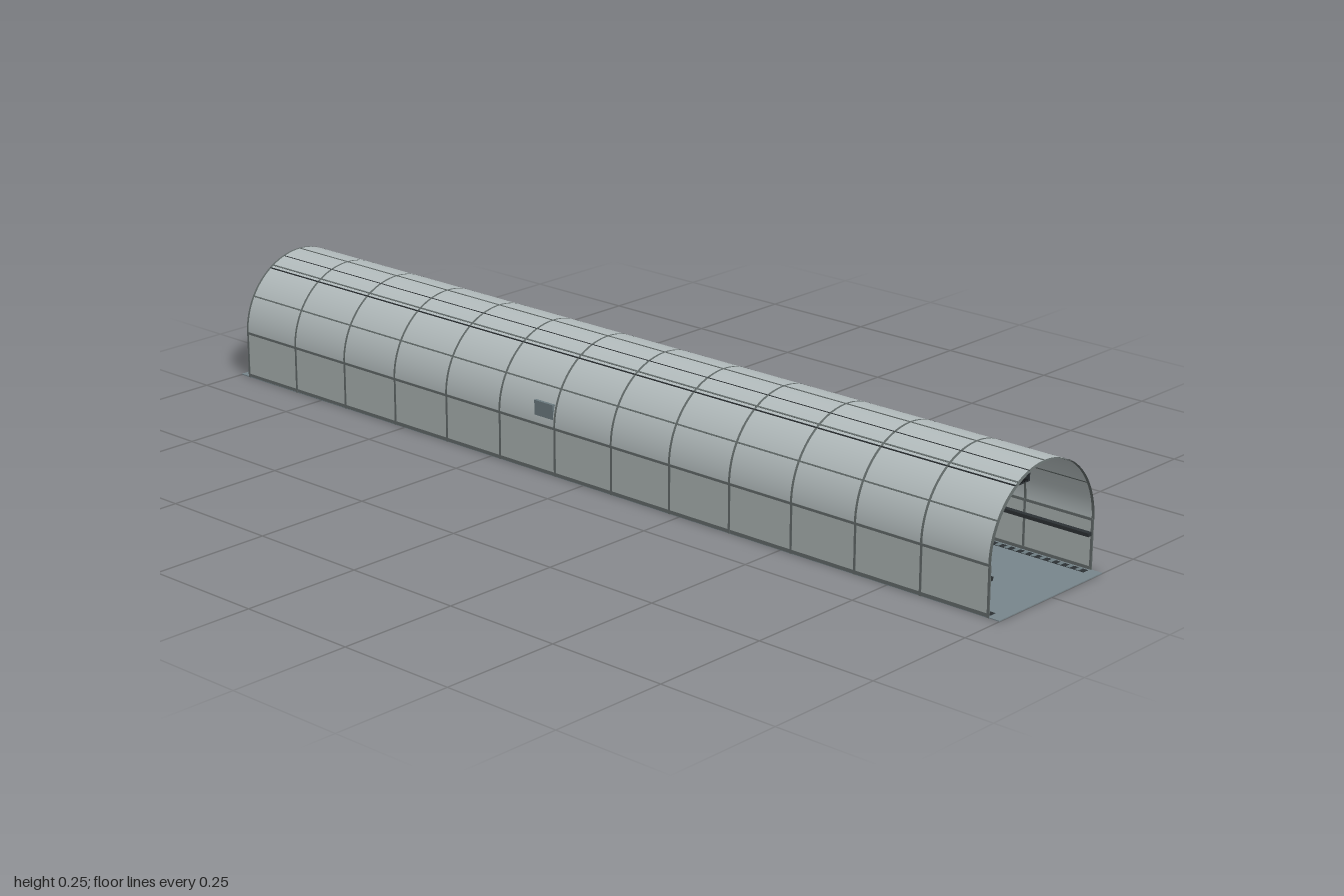
import * as THREE from 'three';
import { mergeGeometries } from 'three/addons/utils/BufferGeometryUtils.js';

const R = 0.153;        // arch radius
const SPRING = 0.098;   // height where the arch starts
const WALL = 0.152;     // half width of the side walls
const BAY = 0.15;       // panel length
const BAYS = 13;
const LEN = BAY * BAYS;

function material(name, color, side = THREE.FrontSide) {
  const m = new THREE.MeshStandardMaterial({ color, side });
  m.name = name;
  return m;
}

// Box given by its size and centre
function box(w, h, d, x, y, z) {
  return new THREE.BoxGeometry(w, h, d).translate(x, y, z);
}

// Open half cylinder running along z
function halfTube(radius, length, z = 0) {
  return new THREE.CylinderGeometry(radius, radius, length, 48, 1, true, Math.PI / 2, Math.PI)
    .rotateX(Math.PI / 2).translate(0, SPRING, z);
}

export function createModel() {
  const group = new THREE.Group();
  const shell = material('pale panel grey', 0xb4bdbe, THREE.DoubleSide);
  const wallGrey = material('wall grey', 0xaab2b1, THREE.DoubleSide);
  const seam = material('seam grey', 0x626a69, THREE.DoubleSide);
  const floorGrey = material('floor blue grey', 0x78868c);
  const steel = material('cabinet steel', 0x6c7b80);
  const dark = material('dark metal', 0x2c3134);
  const black = material('cable black', 0x17191b);

  const add = (name, mat, ...geos) => {
    const mesh = new THREE.Mesh(geos.length > 1 ? mergeGeometries(geos) : geos[0], mat);
    mesh.name = name;
    group.add(mesh);
  };

  // Floor slab, a little longer than the shell
  add('floor', floorGrey, box(0.306, 0.002, 2, 0, 0.001, 0));

  // Vaulted roof
  add('archRoof', shell, halfTube(R, LEN));

  // Ring seams between bays, outside and inside
  const rings = [];
  for (let i = 0; i <= BAYS; i++) {
    const z = -LEN / 2 + i * BAY;
    for (const r of [R + 0.0007, R - 0.0007]) rings.push(halfTube(r, 0.005, z));
  }
  add('ringSeams', seam, ...rings);

  // Lengthwise seams at even angles round the vault
  const long = [];
  for (let i = 1; i < 6; i++) {
    const a = i * Math.PI / 6;
    long.push(new THREE.BoxGeometry(0.0016, 0.003, LEN).translate(R, 0, 0)
      .rotateZ(a).translate(0, SPRING, 0));
  }
  add('lengthwiseSeams', seam, ...long);

  // Parts repeated on both sides
  for (const s of [-1, 1]) {
    const side = s > 0 ? 'left' : 'right';
    add(side + 'Wall', wallGrey, box(0.001, SPRING, LEN, s * WALL, SPRING / 2, 0));
    add(side + 'WallTopSeam', seam, box(0.003, 0.005, LEN, s * (WALL + 0.0005), SPRING, 0));
    add(side + 'Plinth', seam, box(0.003, 0.007, LEN, s * 0.1515, 0.0045, 0));

    const joints = [];
    for (let i = 0; i <= BAYS; i++) {
      joints.push(box(0.0024, SPRING, 0.005, s * WALL, SPRING / 2, -LEN / 2 + i * BAY));
    }
    add(side + 'WallJoints', seam, ...joints);

    // Handrail
    add(side + 'Handrail', dark, box(0.011, 0.007, LEN, s * 0.1465, 0.0705, 0));

    // Floor drain with grating bars
    add(side + 'Drain', dark, box(0.014, 0.001, LEN, s * 0.138, 0.0022, 0));
    const bars = [];
    for (let z = -0.96; z < 0.97; z += 0.02) bars.push(box(0.014, 0.0015, 0.008, s * 0.138, 0.0028, z));
    add(side + 'DrainGrating', steel, ...bars);
  }

  // Cable tray hung below the vault, with cables lying in it
  add('cableTray', dark,
    box(0.04, 0.002, LEN, -0.065, 0.226, 0),
    box(0.0015, 0.0198, LEN, -0.045, 0.2351, 0));
  const cables = [];
  for (let i = 0; i < 4; i++) {
    cables.push(new THREE.CylinderGeometry(0.0018, 0.0018, LEN, 8)
      .rotateX(Math.PI / 2).translate(-0.074 + i * 0.0075, 0.2288, 0));
  }
  add('trayCables', black, ...cables);

  // Louvred vents in the left haunch
  for (const z of [-0.613, 0.613]) {
    add('ventBody', dark, box(0.007, 0.03, 0.058, 0.1425, 0.146, z));
    const slats = [];
    for (let i = 0; i < 6; i++) {
      slats.push(new THREE.BoxGeometry(0.006, 0.0014, 0.054).rotateZ(0.45)
        .translate(0.137, 0.134 + i * 0.0048, z));
    }
    add('ventLouvres', black, ...slats);
  }

  // Equipment cabinet on the right wall
  add('cabinet', steel, box(0.014, 0.06, 0.05, -0.145, 0.115, -0.105));
  add('cabinetDoor', dark, box(0.002, 0.052, 0.042, -0.137, 0.115, -0.105));

  return group;
}
